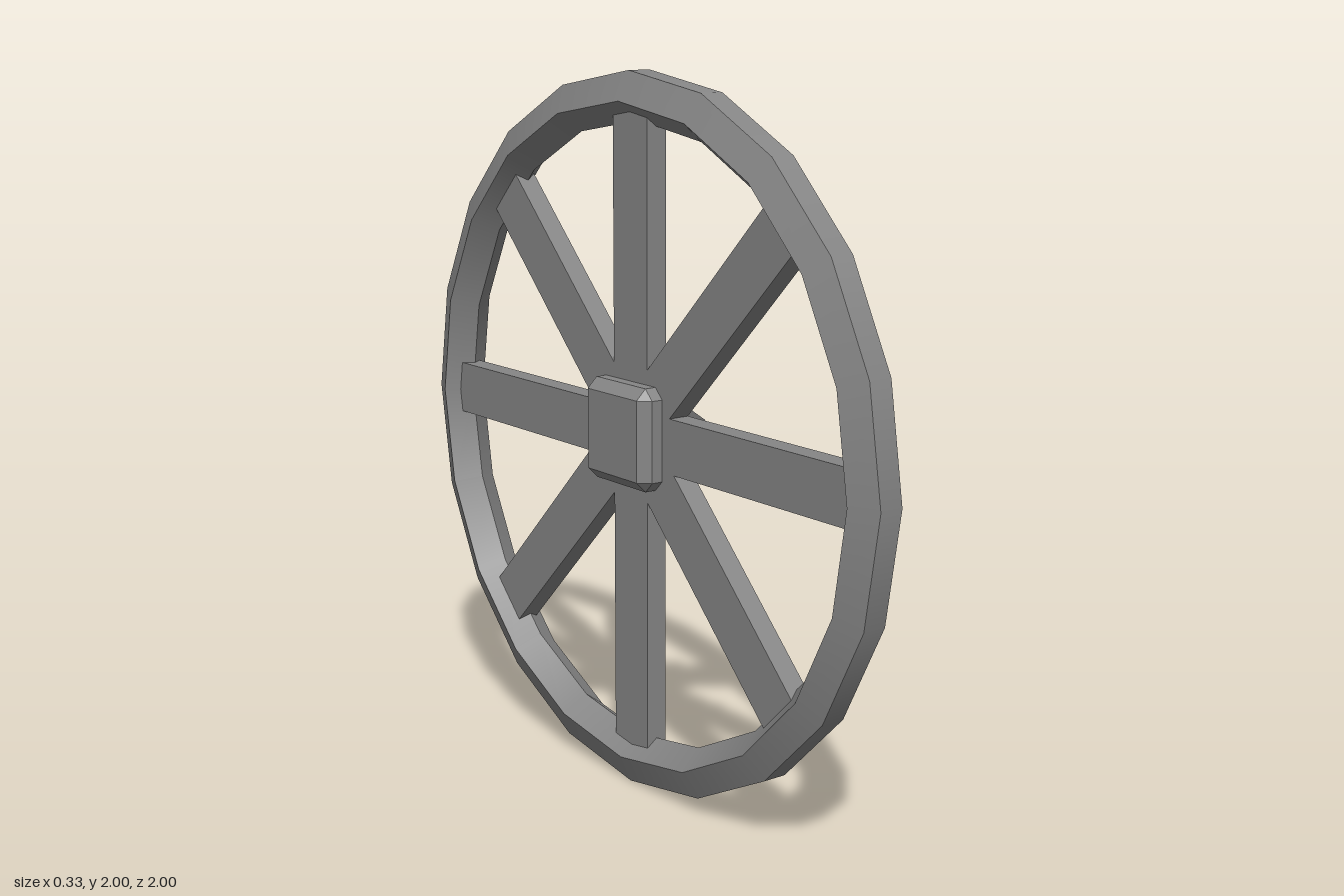
import * as THREE from 'three';
import { mergeGeometries } from 'three/addons/utils/BufferGeometryUtils.js';
import { ConvexGeometry } from 'three/addons/geometries/ConvexGeometry.js';

const COLOR = 0x868686;
const flat = new THREE.MeshStandardMaterial({ color: COLOR, flatShading: true });
const smooth = new THREE.MeshStandardMaterial({ color: COLOR });
const MID_X = -0.07; // middle plane of the wheel

function add(parent, name, geometry, x, y, z, material = flat) {
  const mesh = new THREE.Mesh(geometry, material);
  mesh.name = name;
  mesh.position.set(x, y, z);
  parent.add(mesh);
  return mesh;
}

// Square pyramid pointing along +x, base at its origin
function pyramid(halfWidth, height) {
  return new THREE.ConeGeometry(halfWidth * Math.SQRT2, height, 4)
    .rotateY(Math.PI / 4)
    .translate(0, height / 2, 0)
    .rotateZ(-Math.PI / 2);
}

// Box with every edge and corner chamfered
function chamferedBox(hx, hy, hz, c) {
  const points = [];
  for (const i of [-1, 1]) for (const j of [-1, 1]) for (const k of [-1, 1]) {
    points.push(
      new THREE.Vector3(i * hx, j * (hy - c), k * (hz - c)),
      new THREE.Vector3(i * (hx - c), j * hy, k * (hz - c)),
      new THREE.Vector3(i * (hx - c), j * (hy - c), k * hz)
    );
  }
  return new ConvexGeometry(points);
}

// Twenty-sided ring: each band is smooth around the wheel, with sharp edges between bands
function ring(section) {
  const bands = section.map((p, i) => {
    const next = section[(i + 1) % section.length];
    return new THREE.LatheGeometry([new THREE.Vector2(...p), new THREE.Vector2(...next)], 20);
  });
  return mergeGeometries(bands).rotateZ(-Math.PI / 2);
}

export function createModel() {
  const wheel = new THREE.Group();
  wheel.name = 'wheel';

  // Rim section: radius, offset along the axle
  const section = [[0.867, 0], [0.92, -0.07], [1, -0.035], [1, 0.035], [0.92, 0.07]];
  add(wheel, 'rim', ring(section), MID_X, 1, 0, smooth);

  // Four crossing planks make eight spokes
  for (let i = 0; i < 4; i++) {
    const y = [1, 1.02, 1.01, 1.02][i];
    const plank = add(wheel, 'spokePlank', new THREE.BoxGeometry(0.063, 1.8, 0.153), MID_X, y, 0);
    plank.rotation.x = (i * Math.PI) / 4;
  }

  // Pyramid studs on the upright and level spokes
  const stud = pyramid(0.034, 0.059);
  for (const y of [0.37, 0.645, 1.4, 1.68]) add(wheel, 'stud', stud, -0.039, y, 0);
  for (const z of [-0.675, -0.4, 0.37, 0.645]) add(wheel, 'stud', stud, -0.039, 1.005, z);

  // Hub block and its spike
  add(wheel, 'hub', chamferedBox(0.085, 0.143, 0.143, 0.03), -0.08, 1.02, 0);
  add(wheel, 'hubSpike', pyramid(0.088, 0.161), 0, 1.02, 0);

  return wheel;
}
